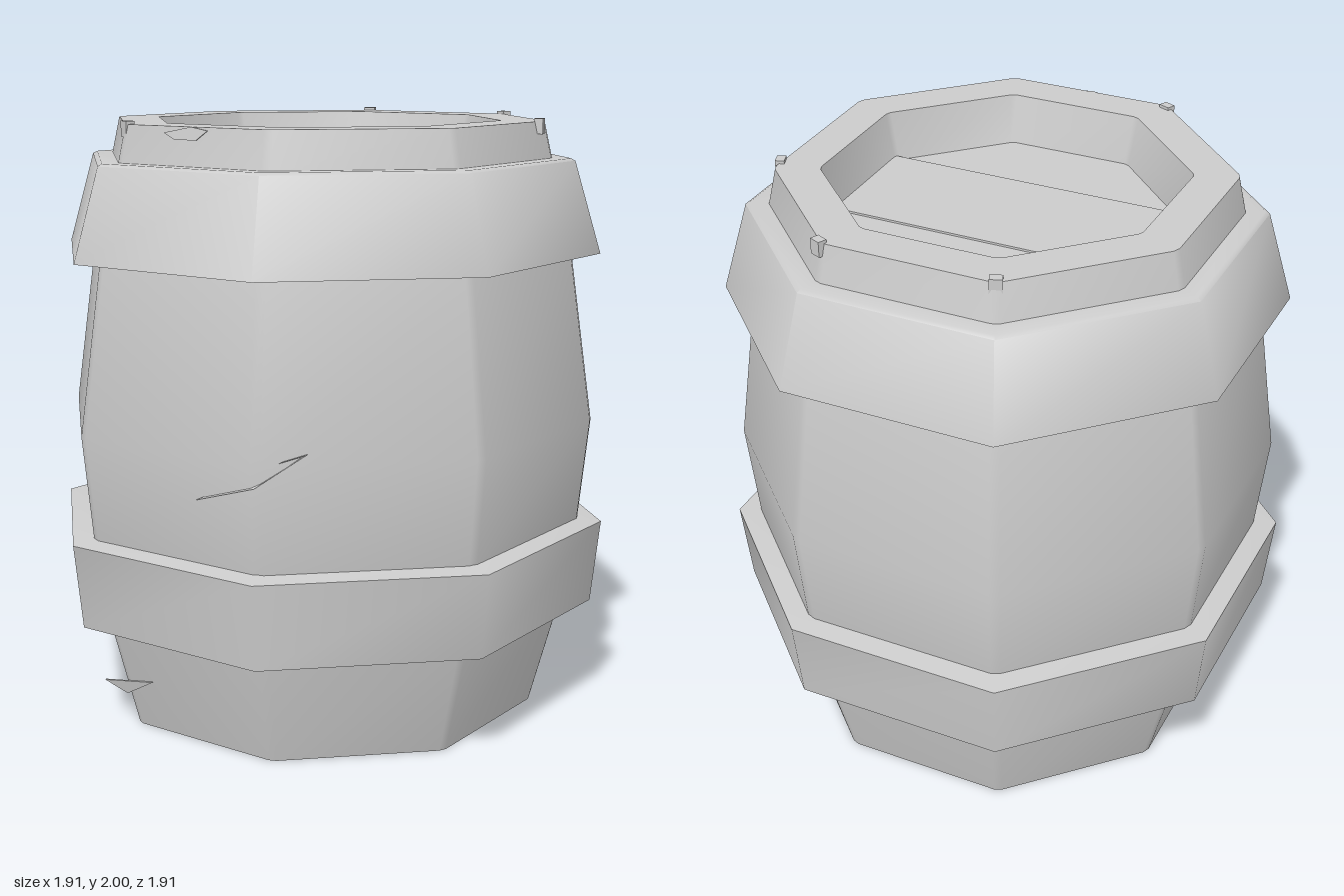
import * as THREE from 'three';
import { toCreasedNormals } from 'three/addons/utils/BufferGeometryUtils.js';

const SIDES = 8;

// Octagonal loft of a [radius, y] profile; chamfer cuts each vertical corner (share of the radius).
function loft(profile, chamfer = 0) {
  const ring = (r, y) => {
    const corners = [];
    for (let i = 0; i < SIDES; i++) {
      const a = (i / SIDES) * Math.PI * 2;
      const shift = i === 2 || i === 6 ? -0.025 * r : 0; // slightly uneven side corners
      corners.push(new THREE.Vector3(r * Math.sin(a), y, r * Math.cos(a) + shift));
    }
    if (!chamfer) return corners;
    return corners.flatMap((c, i) => [
      c.clone().lerp(corners[(i + SIDES - 1) % SIDES], chamfer),
      c.clone().lerp(corners[(i + 1) % SIDES], chamfer),
    ]);
  };
  const rings = profile.map(([r, y]) => ring(r, y));
  const pos = [];
  const tri = (...pts) => pts.forEach((p) => pos.push(p.x, p.y, p.z));
  for (let j = 0; j < rings.length - 1; j++) {
    const lo = rings[j], hi = rings[j + 1], n = lo.length;
    for (let i = 0; i < n; i++) {
      const k = (i + 1) % n;
      if (profile[j][0] > 0) tri(lo[i], lo[k], hi[k]);
      if (profile[j + 1][0] > 0) tri(lo[i], hi[k], hi[i]);
    }
  }
  const geo = new THREE.BufferGeometry();
  geo.setAttribute('position', new THREE.Float32BufferAttribute(pos, 3));
  return toCreasedNormals(geo, 0.82);
}

export function createModel() {
  const group = new THREE.Group();
  const grey = new THREE.MeshStandardMaterial({ color: 0xcccccc });
  grey.name = 'barrel grey';
  const add = (name, geo) => {
    const mesh = new THREE.Mesh(geo, grey);
    mesh.name = name;
    group.add(mesh);
  };

  // Staved body: recessed base, bulging wall, flat rim, sunken mouth
  add('body', loft([
    [0, 0.06], [0.63, 0.06], [0.64, 0], [0.73, 0], [0.83, 0.37], [0.88, 0.66], [0.915, 1],
    [0.835, 1.56], [0.765, 1.86], [0.735, 1.99], [0.59, 1.99], [0.55, 1.82], [0, 1.8],
  ], 0.025));

  // Two hoops
  add('lowerHoop', loft([[0.8, 0.37], [0.925, 0.37], [0.955, 0.65], [0.86, 0.662]]));
  add('upperHoop', loft([[0.81, 1.56], [0.925, 1.56], [0.835, 1.862], [0.82, 1.87], [0.74, 1.87]]));

  // Lid boards, each spanning a run of the octagon's corners
  const corner = (i) => {
    const a = (i / SIDES) * Math.PI * 2;
    return new THREE.Vector2(0.56 * Math.sin(a), -0.56 * Math.cos(a));
  };
  const boards = [
    ['frontBoard', [6, 7, 0, 1], 1.83],
    ['middleBoard', [6, 1, 2, 5], 1.845],
    ['backBoard', [5, 2, 3, 4], 1.838],
  ];
  for (const [name, ids, top] of boards) {
    const geo = new THREE.ExtrudeGeometry(new THREE.Shape(ids.map(corner)), { depth: 0.04, bevelEnabled: false });
    add(name, geo.rotateX(-Math.PI / 2).translate(0, top - 0.04, 0));
  }

  // Shallow splinters lying on the front faces: [x, y] outline, wall radius at the lowest and highest point
  const splinter = (name, outline, radiusAt) => {
    const geo = new THREE.ExtrudeGeometry(
      new THREE.Shape(outline.map(([x, y]) => new THREE.Vector2(x, y))), { depth: 0.008, bevelEnabled: false });
    const p = geo.attributes.position;
    for (let i = 0; i < p.count; i++) {
      p.setZ(i, p.getZ(i) + radiusAt(p.getY(i)) - 0.414 * Math.abs(p.getX(i)));
    }
    geo.computeVertexNormals();
    add(name, geo);
  };
  splinter('middleSplinter', [[-0.21, 0.87], [0, 0.94], [0.15, 1.04], [0.08, 1.02]], (y) => 0.915 - 0.1 * Math.abs(y - 1));
  splinter('lowerSplinter', [[-0.64, 0.14], [-0.55, 0.11], [-0.44, 0.18]], (y) => 0.73 + 0.27 * y);
  splinter('rimChip', [[-0.37, 1.97], [-0.33, 1.95], [-0.25, 1.95], [-0.21, 1.98], [-0.27, 1.99]],
    (y) => 0.735 + 0.23 * (1.99 - y));

  // Small upright nicks along the rim
  for (const [x, z] of [[0.53, -0.51], [0.72, 0.03], [-0.52, 0.5], [0, -0.72]]) {
    const geo = new THREE.BoxGeometry(0.04, 0.05, 0.03);
    add('rimNick', geo.rotateY(Math.atan2(x, z)).translate(x, 1.975, z));
  }
  return group;
}
